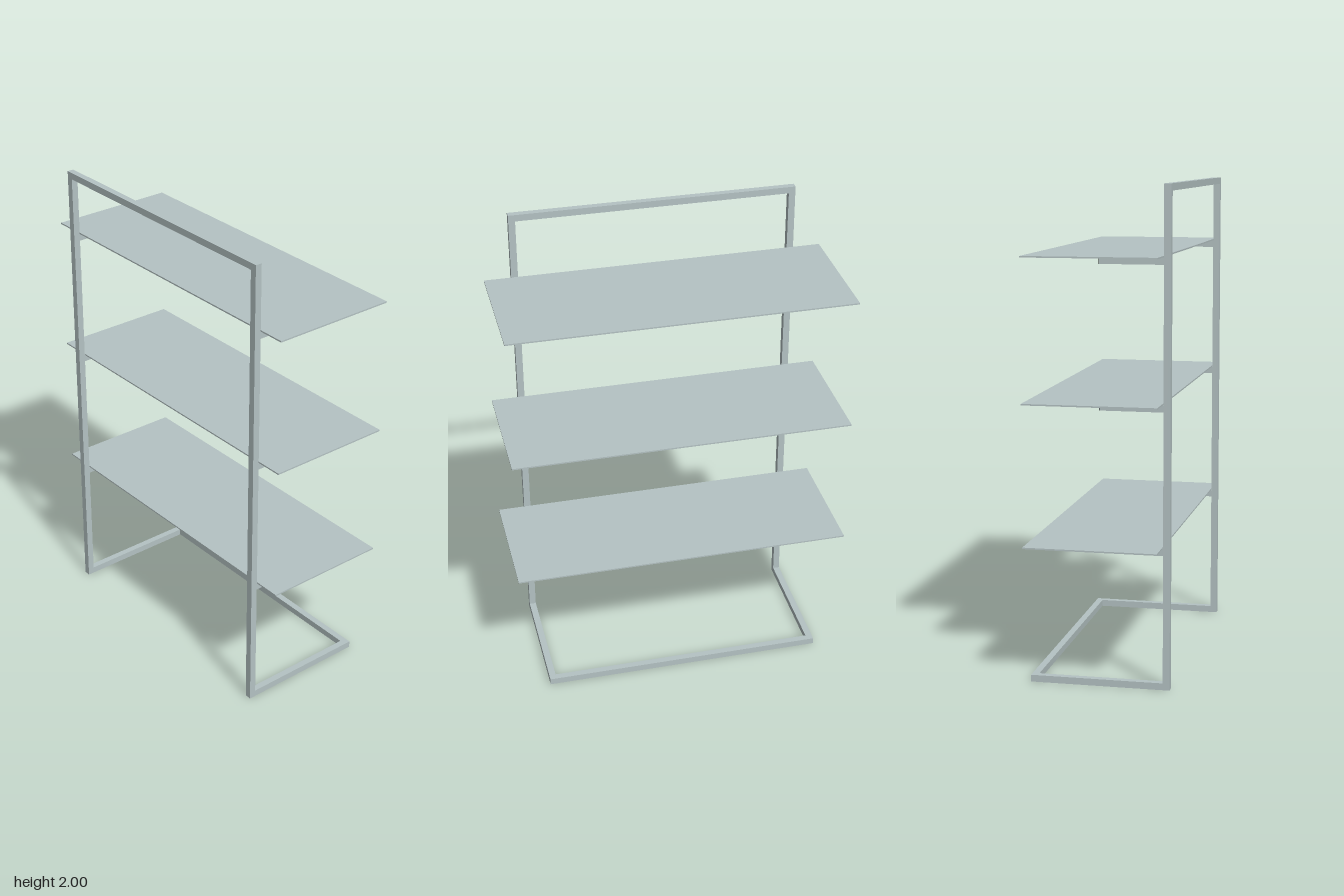
import * as THREE from 'three';

export function createModel() {
  const model = new THREE.Group();
  model.name = 'shelvingRack';

  const steel = new THREE.MeshStandardMaterial({ color: 0xb5c3c4 });
  steel.name = 'pale grey steel';
  const black = new THREE.MeshStandardMaterial({ color: 0x101214 });
  black.name = 'black cap';

  // Box given by its minimum and maximum corners
  function box(name, min, max, material, parent) {
    const size = max.map((v, i) => v - min[i]);
    const mesh = new THREE.Mesh(new THREE.BoxGeometry(...size), material);
    mesh.position.set(...max.map((v, i) => (v + min[i]) / 2));
    mesh.name = name;
    parent.add(mesh);
  }

  const T = 0.028; // square tube width
  const X = 0.6; // outer half width of the frame
  const Z = 0.285; // outer half depth
  const H = 2;

  // Tube frame: hoop at the front, floor base running to the back
  const frame = new THREE.Group();
  frame.name = 'frame';
  model.add(frame);
  box('topRail', [-X + T, H - T, Z - T], [X - T, H, Z], steel, frame);
  box('backFloorRail', [-X + T, 0, -Z], [X - T, T, -Z + T], steel, frame);
  for (const [side, x] of [['left', X - T], ['right', -X]]) {
    box(side + 'Upright', [x, 0, Z - T], [x + T, H, Z], steel, frame);
    box(side + 'FloorRail', [x, 0, -Z], [x + T, T, Z - T], steel, frame);
  }

  // Three thin shelves, each on two capped cantilever brackets
  const thick = 0.006;
  [0.582, 1.153, 1.725].forEach((top, i) => {
    const tier = new THREE.Group();
    tier.name = 'tier' + (i + 1);
    model.add(tier);
    const under = top - thick;
    box('shelf', [-0.713, under, -Z], [0.713, top, 0.254], steel, tier);
    for (const [side, x] of [['left', X - T], ['right', -X]]) {
      box(side + 'Bracket', [x, under - T, 0.003], [x + T, under, Z - T], steel, tier);
      box(side + 'BracketCap', [x, under - T, 0], [x + T, under, 0.003], black, tier);
    }
  });

  return model;
}
